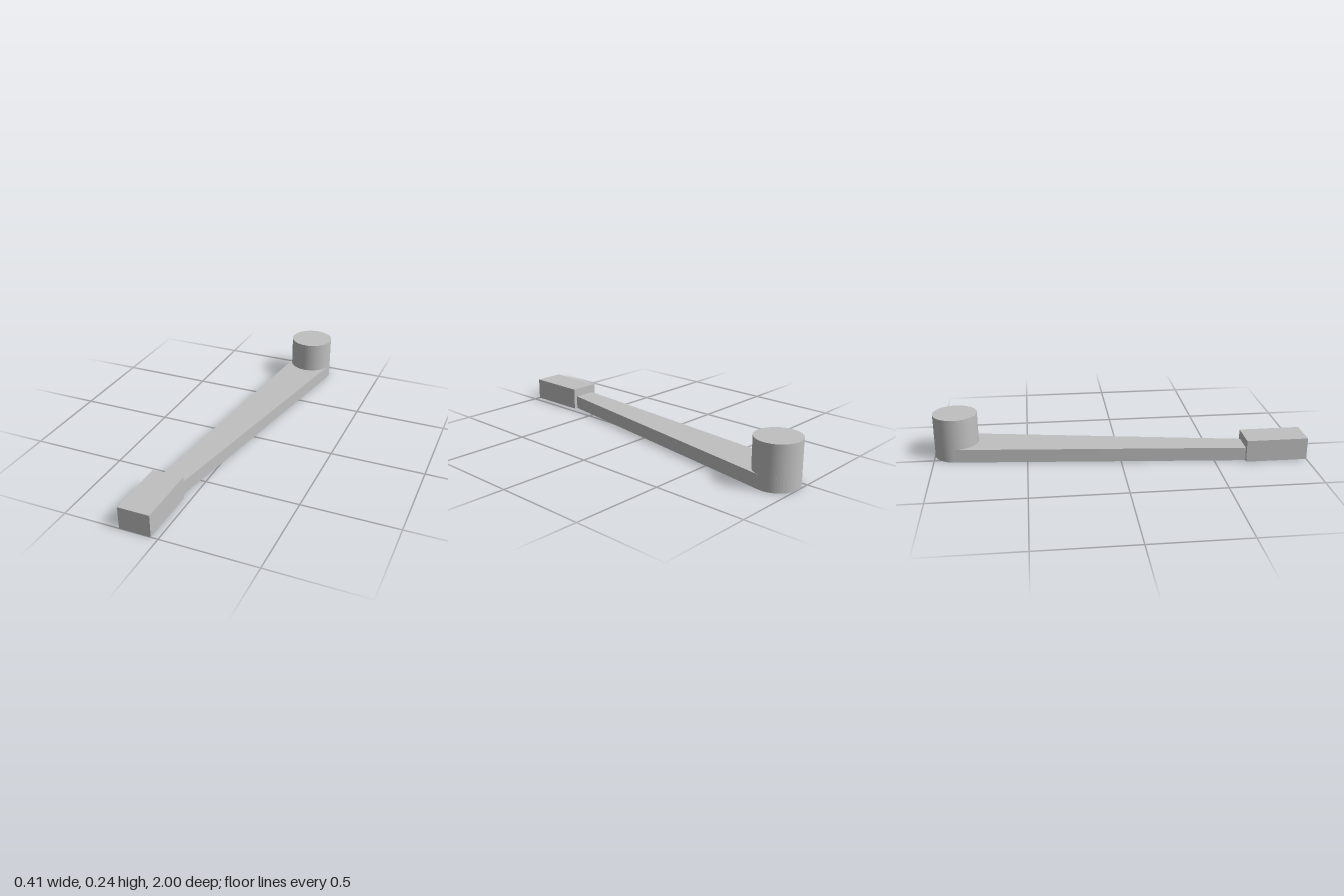
import * as THREE from 'three';
import { toCreasedNormals } from 'three/addons/utils/BufferGeometryUtils.js';

export function createModel() {
  const group = new THREE.Group();
  const grey = new THREE.MeshStandardMaterial({ color: 0xc0c0c0 });
  grey.name = 'light grey';

  const add = (name, geometry, x = 0, y = 0, z = 0) => {
    const mesh = new THREE.Mesh(geometry, grey);
    mesh.name = name;
    mesh.position.set(x, y, z);
    group.add(mesh);
  };

  const radius = 0.119, bossX = 0.083, bossZ = -0.881;
  const armHeight = 0.073, bossTop = 0.239;

  // Tapered arm: straight sides run tangent into the round end
  const outline = new THREE.Shape();
  outline.moveTo(-0.182, -0.667);
  outline.lineTo(-0.057, -0.667);
  outline.absarc(bossX, -bossZ, radius, -0.166, Math.PI - 0.094, false);
  outline.closePath();
  const arm = new THREE.ExtrudeGeometry(outline, {
    depth: armHeight, bevelEnabled: false, curveSegments: 48,
  });
  arm.rotateX(-Math.PI / 2);
  add('arm', toCreasedNormals(arm, 0.5));

  // Round boss standing on the wide end
  const bossHeight = bossTop - armHeight;
  add('boss', new THREE.CylinderGeometry(radius, radius, bossHeight, 64),
    bossX, armHeight + bossHeight / 2, bossZ);

  // Rectangular block at the narrow end
  add('endBlock', new THREE.BoxGeometry(0.166, 0.12, 0.333), -0.12, 0.06, 0.8335);

  return group;
}
